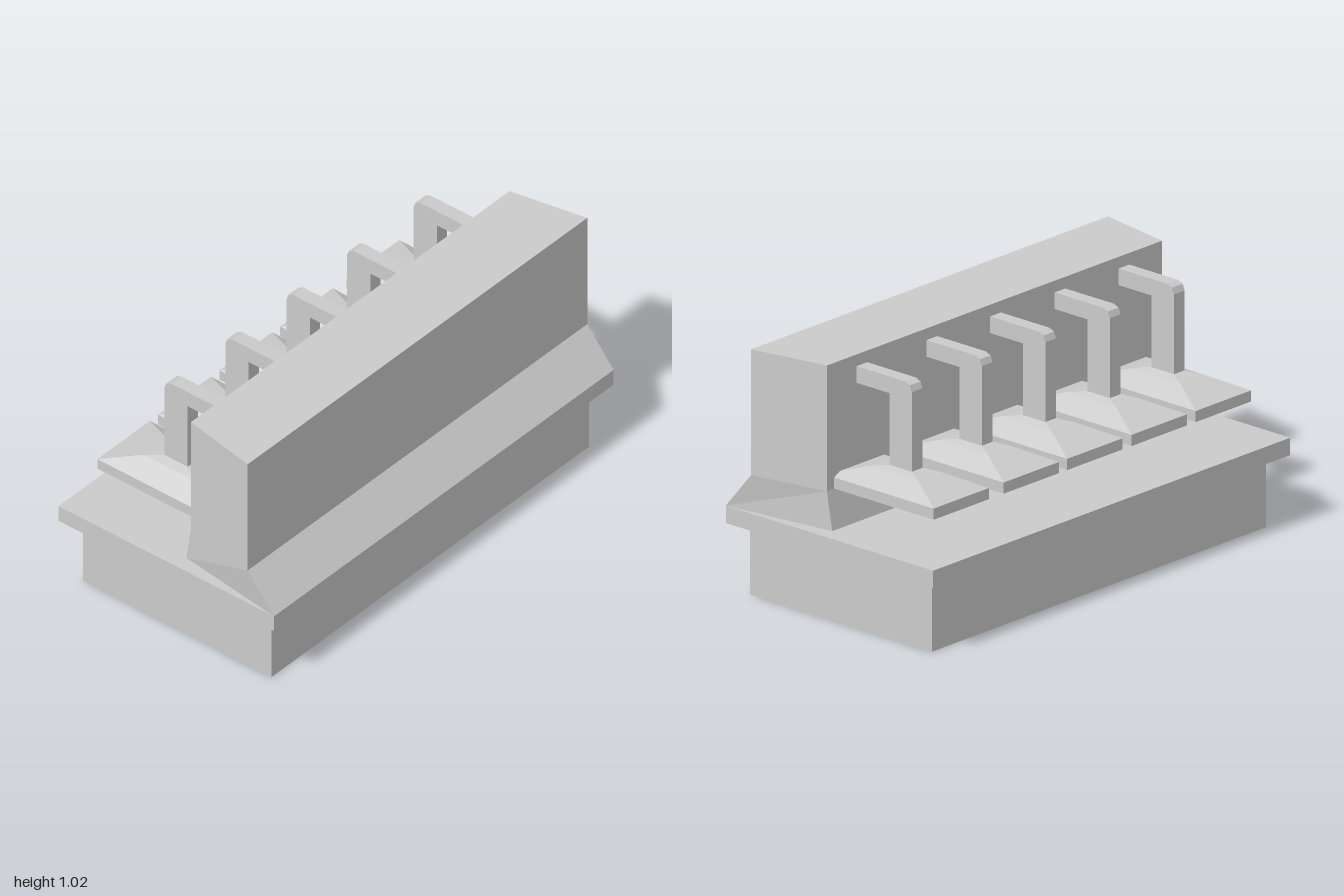
import * as THREE from 'three';

const material = new THREE.MeshStandardMaterial({ color: 0xcccccc, flatShading: true });

function addMesh(parent, name, geometry) {
  const mesh = new THREE.Mesh(geometry, material);
  mesh.name = name;
  parent.add(mesh);
  return mesh;
}

// Closed solid from stacked four-cornered sections.
// Each level: y, left x, right x, half depth at left, half depth at right.
function stackedSolid(levels) {
  const rings = levels.map(([y, x0, x1, d0, d1]) => [
    [x1, y, d1], [x1, y, -d1], [x0, y, -d0], [x0, y, d0],
  ]);
  const points = [];
  const quad = (a, b, c, d) => points.push(...a, ...b, ...c, ...a, ...c, ...d);
  for (let i = 0; i < rings.length - 1; i++) {
    for (let j = 0; j < 4; j++) {
      const k = (j + 1) % 4;
      quad(rings[i][j], rings[i][k], rings[i + 1][k], rings[i + 1][j]);
    }
  }
  quad(...rings[rings.length - 1]);
  quad(...[...rings[0]].reverse());
  const geometry = new THREE.BufferGeometry();
  geometry.setAttribute('position', new THREE.Float32BufferAttribute(points, 3));
  geometry.computeVertexNormals();
  return geometry;
}

export function createModel() {
  const model = new THREE.Group();
  model.name = 'hoodedCounter';

  // Plinth and overhanging counter slab
  addMesh(model, 'plinth', new THREE.BoxGeometry(0.934, 0.29, 1.87)).position.y = 0.145;
  addMesh(model, 'counterSlab', new THREE.BoxGeometry(1.066, 0.07, 2)).position.y = 0.325;

  // Tall wall with flared foot and angled ends
  addMesh(model, 'wall', stackedSolid([
    [0.36, 0.045, 0.533, 0.935, 1],
    [0.515, 0.07, 0.403, 0.938, 1],
    [1.022, 0.07, 0.403, 0.938, 1],
  ]));

  // Shared hood and bent duct shapes
  const hoodGeometry = stackedSolid([
    [0.515, -0.285, 0.285, 0.155, 0.155],
    [0.56, -0.285, 0.285, 0.155, 0.155],
    [0.607, -0.128, 0.128, 0.068, 0.068],
    [0.619, -0.058, 0.058, 0.03, 0.03],
  ]);
  hoodGeometry.translate(-0.156, 0, 0);

  const ductProfile = new THREE.Shape([
    [-0.214, 0.61], [-0.099, 0.61], [-0.099, 0.908], [0.1, 0.908],
    [0.1, 0.975], [-0.18, 0.975], [-0.204, 0.965], [-0.214, 0.94],
  ].map(([x, y]) => new THREE.Vector2(x, y)));
  const ductGeometry = new THREE.ExtrudeGeometry(ductProfile, { depth: 0.06, bevelEnabled: false });
  ductGeometry.translate(0, 0, -0.03);

  // Row of five extractor hoods
  [-0.742, -0.35, 0.006, 0.367, 0.726].forEach((z, i) => {
    const extractor = new THREE.Group();
    extractor.name = `extractor${i + 1}`;
    extractor.position.z = z;
    addMesh(extractor, 'hood', hoodGeometry);
    addMesh(extractor, 'duct', ductGeometry);
    model.add(extractor);
  });

  return model;
}
